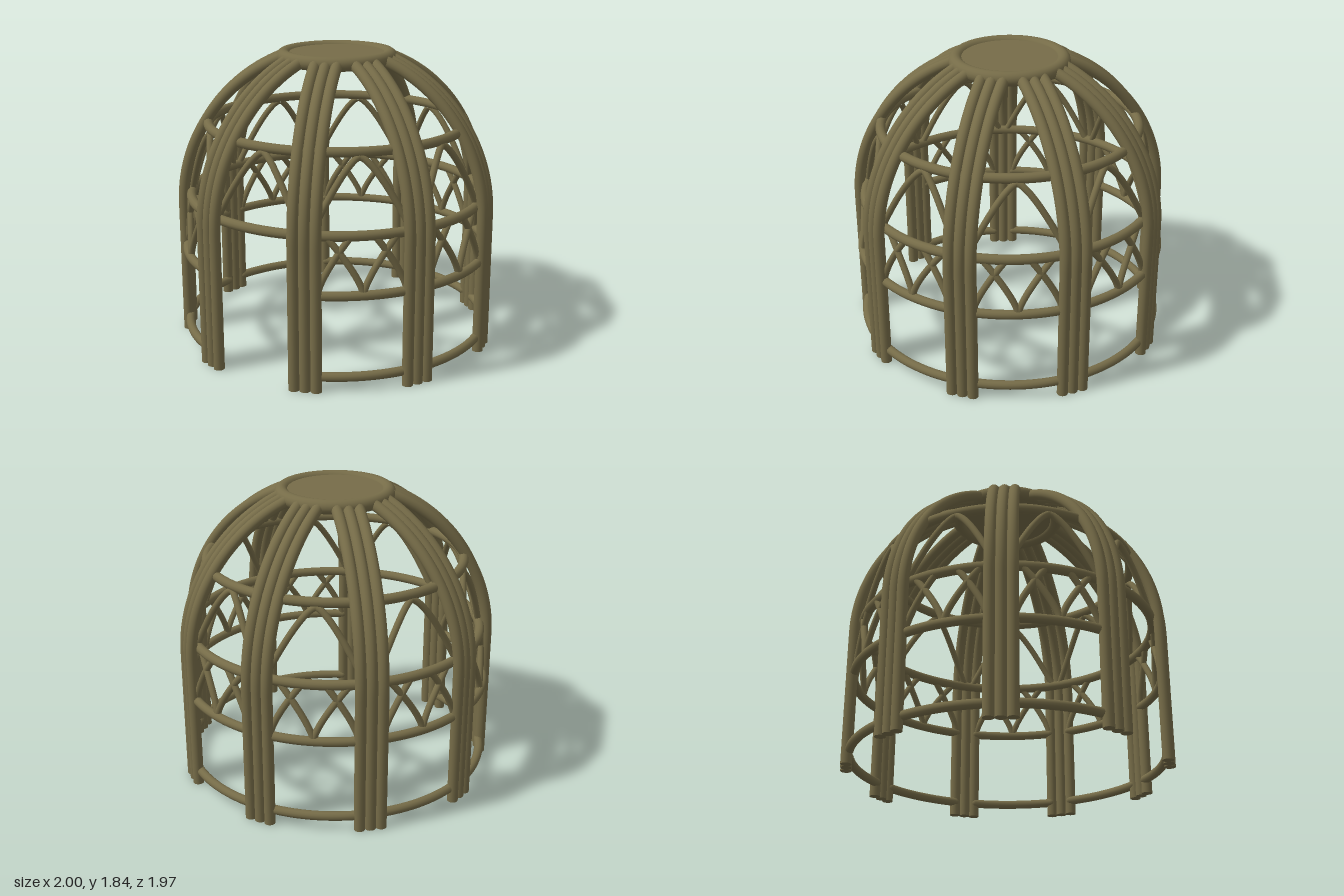
import * as THREE from 'three';

const BAYS = 9, STEP = (Math.PI * 2) / BAYS;
const RIB_R = 0.97, TUBE = 0.034, RAIL = 0.028, BAR = 0.02;

// point at angle a around the axis (0 = front), radius r, height y
const polar = (a, r, y) => new THREE.Vector3(r * Math.sin(a), y, r * Math.cos(a));

export function createModel() {
  const model = new THREE.Group();
  const dome = new THREE.Group();
  dome.name = 'dome';
  dome.position.z = 0.018;
  model.add(dome);

  const olive = new THREE.MeshStandardMaterial({ color: 0x766c48 });
  olive.name = 'olive';

  const add = (name, geometry, parent = dome) => {
    const mesh = new THREE.Mesh(geometry, olive);
    mesh.name = name;
    parent.add(mesh);
    return mesh;
  };

  // tube through n + 1 samples of fn(0..1)
  const tube = (fn, n, radius, sides = 12) => {
    const points = Array.from({ length: n + 1 }, (_, i) => fn(i / n));
    return new THREE.TubeGeometry(new THREE.CatmullRomCurve3(points), n * 2, radius, sides);
  };

  // rib: a straight post that bends over in an arc to the crown
  const ribPath = new THREE.CurvePath();
  const arc = Array.from({ length: 17 }, (_, i) => {
    const t = (i / 16) * Math.acos(0.36);
    return new THREE.Vector3(0, 0.86 + Math.sin(t), -0.03 + Math.cos(t));
  });
  ribPath.add(new THREE.LineCurve3(new THREE.Vector3(0, 0, RIB_R), arc[0]));
  ribPath.add(new THREE.CatmullRomCurve3(arc));
  const ribGeometry = new THREE.TubeGeometry(ribPath, 48, TUBE, 16);
  const footGeometry = new THREE.CircleGeometry(TUBE, 16).rotateX(Math.PI / 2);

  for (let i = 0; i < BAYS; i++) {
    const rib = new THREE.Group();
    rib.name = 'rib';
    rib.rotation.y = (i + 0.5) * STEP;
    for (const x of [-0.066, 0, 0.066]) {
      add('ribTube', ribGeometry, rib).position.x = x;
      add('ribFoot', footGeometry, rib).position.set(x, 0, RIB_R);
    }
    dome.add(rib);
  }

  // full rings on the inside of the ribs
  for (const [r, y] of [[0.92, 0.932], [0.8, 1.385]]) {
    add('ring', new THREE.TorusGeometry(r, 0.03, 12, 108).rotateX(Math.PI / 2)).position.y = y;
  }

  // one bay, built facing the front and turned into place
  const half = 0.275;
  const railGeometry = tube((t) => polar((t * 2 - 1) * half, 0.958, 0), 12, RAIL);
  const endGeometry = new THREE.SphereGeometry(RAIL, 12, 8);

  // pointed arch between the two rings
  const archHalf = (side) => tube((t) => {
    const y = 0.93 + 0.43 * (1 - Math.pow(t, 1.5));
    return polar(side * t * 0.93 * STEP / 2, 0.81 + 0.11 * Math.pow(t, 1.2), y);
  }, 12, BAR);
  const archHalves = [archHalf(-1), archHalf(1)];

  // crossing curved bars of the lower band: [foot, top] across the bay
  const latticeBars = [[-1, -0.3], [0, -0.78], [0, 0.78], [1, 0.3]].map(([foot, top]) =>
    tube((t) => polar((foot + (top - foot) * Math.pow(t, 1.4)) * half,
      0.955 - 0.03 * t, 0.59 + 0.33 * t), 8, BAR));

  for (let i = 0; i < BAYS; i++) {
    const bay = new THREE.Group();
    bay.name = 'bay';
    bay.rotation.y = i * STEP;
    for (const g of archHalves) add('archHalf', g, bay);
    // the front bay stays open below as the doorway
    if (i > 0) {
      for (const y of [0.088, 0.588]) {
        add('rail', railGeometry, bay).position.y = y;
        for (const s of [-1, 1]) add('railEnd', endGeometry, bay).position.copy(polar(s * half, 0.958, y));
      }
      for (const g of latticeBars) add('latticeBar', g, bay);
    }
    dome.add(bay);
  }

  // crown ring and its flat lid
  add('crownRing', new THREE.TorusGeometry(0.328, 0.044, 16, 64).rotateX(Math.PI / 2)).position.y = 1.795;
  add('crownLid', new THREE.CylinderGeometry(0.32, 0.32, 0.04, 64)).position.y = 1.799;

  return model;
}
